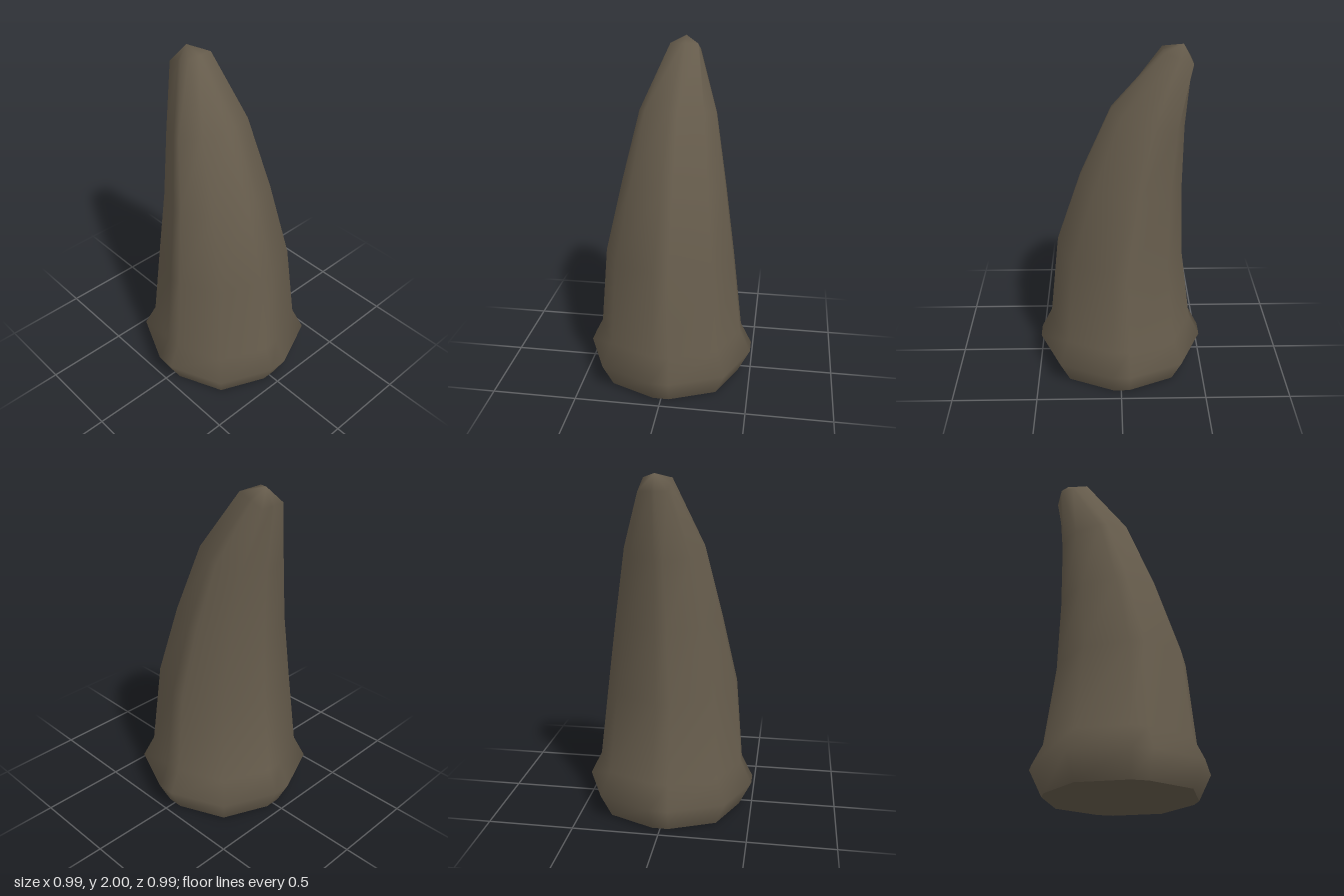
import * as THREE from 'three';

// Cross-sections from base to tip: centre x, y, z, radii, tilt (right edge raised), corner squareness
const RINGS = [
  { x: 0, y: 0, z: 0, rx: 0.425, rz: 0.425, tilt: 0, corner: 0.73 },
  { x: 0, y: 0.145, z: 0, rx: 0.497, rz: 0.497, tilt: 0, corner: 0.73 },
  { x: 0, y: 0.28, z: 0, rx: 0.43, rz: 0.43, tilt: 0, corner: 0.73 },
  { x: 0.003, y: 0.765, z: 0.008, rx: 0.373, rz: 0.382, tilt: 0.025, corner: 0.73 },
  { x: -0.063, y: 1.19, z: -0.005, rx: 0.293, rz: 0.305, tilt: 0.04, corner: 0.73 },
  { x: -0.155, y: 1.59, z: -0.015, rx: 0.205, rz: 0.225, tilt: 0.05, corner: 0.75 },
  { x: -0.31, y: 1.94, z: -0.038, rx: 0.08, rz: 0.08, tilt: 0.03, corner: 1 },
];
const APEX = [-0.34, 2, -0.037];
const SIDES = 12;

// Octagon outline with its four axis corners cut flat
function ringPoints(ring) {
  const points = [];
  const d = ring.corner;
  for (let q = 0; q < 4; q++) {
    const c = Math.round(Math.cos(q * Math.PI / 2));
    const s = Math.round(Math.sin(q * Math.PI / 2));
    for (const [u, v] of [[1, -0.11], [1, 0.11], [d, d]]) {
      const px = u * c - v * s;
      const pz = u * s + v * c;
      points.push([ring.x + px * ring.rx, ring.y + px * ring.tilt, ring.z + pz * ring.rz]);
    }
  }
  return points;
}

function makeGeometry(points, index) {
  const geometry = new THREE.BufferGeometry();
  geometry.setAttribute('position', new THREE.Float32BufferAttribute(points.flat(), 3));
  geometry.setIndex(index);
  geometry.computeVertexNormals();
  return geometry;
}

// Smooth curved body, closed by a fan at the tip
function hornGeometry() {
  const points = RINGS.flatMap(ringPoints);
  const apex = points.length;
  points.push(APEX);
  const index = [];
  for (let i = 0; i < RINGS.length; i++) {
    for (let j = 0; j < SIDES; j++) {
      const a = i * SIDES + j;
      const b = i * SIDES + (j + 1) % SIDES;
      if (i === RINGS.length - 1) index.push(a, apex, b);
      else index.push(a, a + SIDES, b, b, a + SIDES, b + SIDES);
    }
  }
  return makeGeometry(points, index);
}

// Flat underside
function baseGeometry() {
  const points = [...ringPoints(RINGS[0]), [0, 0, 0]];
  const index = [];
  for (let j = 0; j < SIDES; j++) index.push(SIDES, j, (j + 1) % SIDES);
  return makeGeometry(points, index);
}

export function createModel() {
  const group = new THREE.Group();
  group.name = 'horn';
  const material = new THREE.MeshStandardMaterial({ color: 0x665c4c });
  material.name = 'brown horn';

  const body = new THREE.Mesh(hornGeometry(), material);
  body.name = 'hornBody';
  const base = new THREE.Mesh(baseGeometry(), material);
  base.name = 'hornBase';
  group.add(body, base);
  return group;
}
